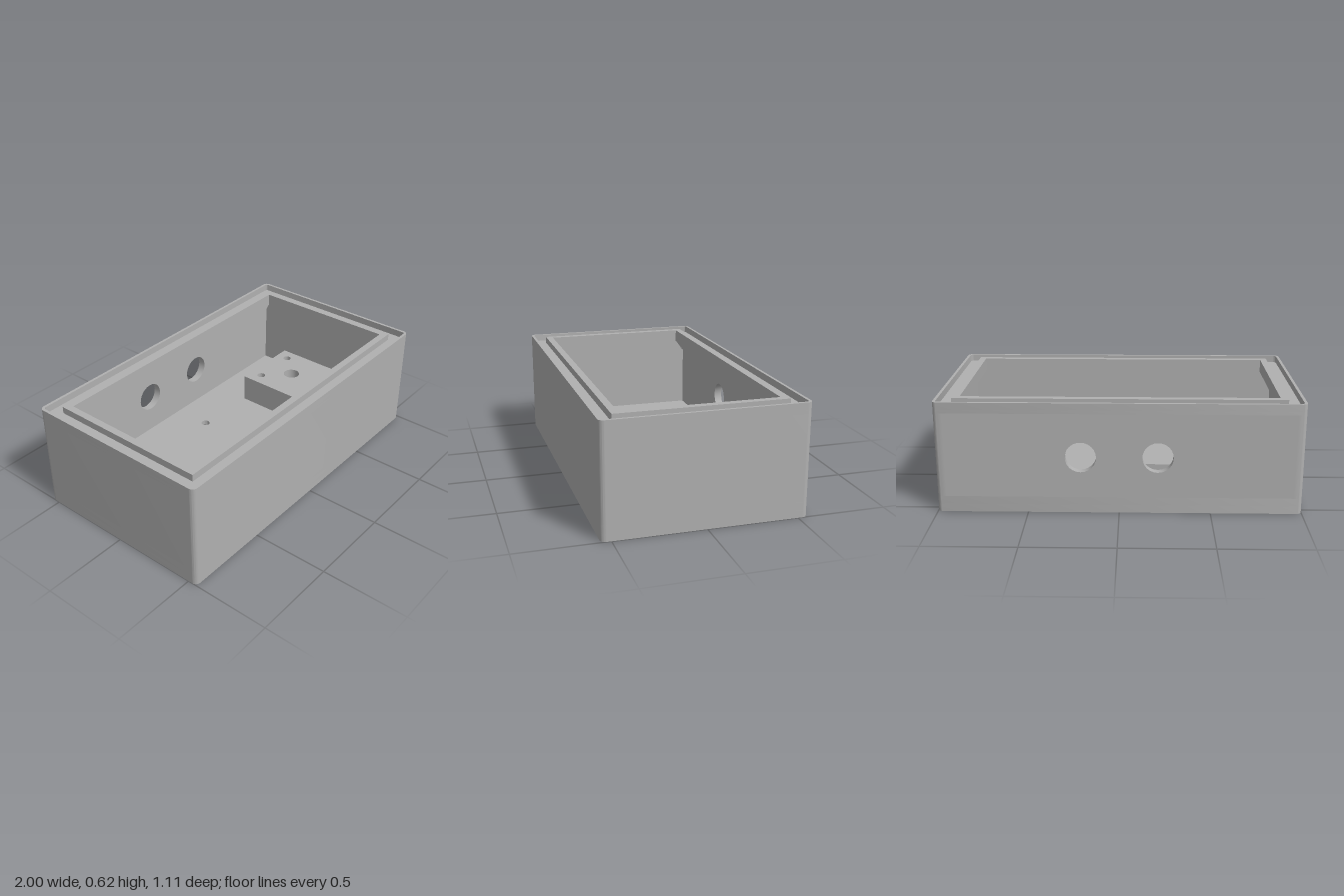
import * as THREE from 'three';
import { toCreasedNormals } from 'three/addons/utils/BufferGeometryUtils.js';

const H = 0.625, X = 1, Z = 0.555, R = 0.03;   // outer size (half x, half z) and corner radius
const IX = 0.95, IZ = 0.51;                    // cavity half size
const FLOOR = 0.09, CEIL = 0.15;               // floor top and pocket ceiling

// Closed outlines drawn in the x, z plane
function rect(x0, x1, z0, z1, r = 0, Type = THREE.Shape) {
  const s = new Type();
  if (!r) {
    s.moveTo(x0, z0); s.lineTo(x1, z0); s.lineTo(x1, z1); s.lineTo(x0, z1);
  } else {
    s.moveTo(x0 + r, z0);
    s.absarc(x1 - r, z0 + r, r, -Math.PI / 2, 0);
    s.absarc(x1 - r, z1 - r, r, 0, Math.PI / 2);
    s.absarc(x0 + r, z1 - r, r, Math.PI / 2, Math.PI);
    s.absarc(x0 + r, z0 + r, r, Math.PI, Math.PI * 1.5);
  }
  s.closePath();
  return s;
}
const rectHole = (x0, x1, z0, z1, r = 0) => rect(x0, x1, z0, z1, r, THREE.Path);
const circleHole = (x, z, r) => new THREE.Path().absarc(x, z, r, 0, Math.PI * 2);
const outline = () => rect(-X, X, -Z, Z, R);

function extrude(shape, holes, depth) {
  shape.holes.push(...holes);
  const g = new THREE.ExtrudeGeometry(shape, { depth, bevelEnabled: false, curveSegments: 12 });
  return toCreasedNormals(g, 0.6);
}

export function createModel() {
  const model = new THREE.Group();
  const grey = new THREE.MeshStandardMaterial({ color: 0xb0b0b0 });
  grey.name = 'grey plastic';
  const add = (name, geometry) => {
    const m = new THREE.Mesh(geometry, grey);
    m.name = name;
    model.add(m);
    return m;
  };
  // Horizontal slab from y0 to y1
  const slab = (name, shape, holes, y0, y1) =>
    add(name, extrude(shape, holes, y1 - y0).rotateX(Math.PI / 2).translate(0, y1, 0));

  // Two hollow housings on the floor, open underneath
  const housings = [
    { name: 'wideHousing', x0: -0.555, x1: -0.005, top: 0.18, holes: [[-0.51, -0.2, 0.025], [-0.055, -0.2, 0.025]] },
    { name: 'tallHousing', x0: 0.42, x1: 0.855, top: 0.26, holes: [[0.5, -0.2, 0.025], [0.78, -0.2, 0.025], [0.64, -0.06, 0.05]] },
  ];
  const hz0 = -0.275, hz1 = 0.16, t = 0.03;
  const pocket = (h) => rectHole(h.x0 + t, h.x1 - t, hz0 + t, hz1 - t);
  for (const h of housings) {
    slab(h.name + 'Sides', rect(h.x0, h.x1, hz0, hz1), [pocket(h)], FLOOR, CEIL);
    slab(h.name + 'Top', rect(h.x0, h.x1, hz0, hz1), h.holes.map((c) => circleHole(...c)), CEIL, h.top);
  }

  // Wide pocket has a finger notch on each side
  const [wide, tall] = housings;
  const nz = -0.02, nw = 0.065, nl = 0.09;
  const a = wide.x0 + t, b = wide.x1 - t, pz0 = hz0 + t, pz1 = hz1 - t;
  const notchedPocket = () => new THREE.Path([
    [a, pz0], [b, pz0], [b, nz - nw], [b + nl, nz - nw], [b + nl, nz + nw], [b, nz + nw],
    [b, pz1], [a, pz1], [a, nz + nw], [a - nl, nz + nw], [a - nl, nz - nw], [a, nz - nw], [a, pz0],
  ].map(([x, z]) => new THREE.Vector2(x, z)));

  // Floor: lower layer with three round recesses for feet, upper layer closing them
  const feet = [[0.21, -0.07], [-0.28, 0.3], [-0.77, -0.07]].map(([x, z]) => circleHole(x, z, 0.138));
  slab('floorUnderside', outline(), [pocket(tall), notchedPocket(), ...feet], 0, 0.045);
  slab('floor', outline(), [pocket(tall), notchedPocket()], 0.045, FLOOR);

  // Arched roofs of the finger notches
  for (const x of [b, a - nl]) {
    const arch = new THREE.Shape();
    arch.moveTo(nw, 0);
    arch.lineTo(nw, FLOOR);
    arch.lineTo(-nw, FLOOR);
    arch.lineTo(-nw, 0);
    arch.absarc(0, 0, nw - 0.005, Math.PI, 0, true);
    add('notchArch', extrude(arch, [], nl).rotateY(Math.PI / 2).translate(x, 0, nz));
  }

  // Front and side walls as one U, then the back wall with its two round ports
  const lipBase = 0.565;
  const u = new THREE.Shape();
  u.moveTo(IX, -Z);
  u.absarc(X - R, -Z + R, R, -Math.PI / 2, 0);
  u.absarc(X - R, Z - R, R, 0, Math.PI / 2);
  u.absarc(-X + R, Z - R, R, Math.PI / 2, Math.PI);
  u.absarc(-X + R, -Z + R, R, Math.PI, Math.PI * 1.5);
  u.lineTo(-IX, -Z);
  u.lineTo(-IX, IZ);
  u.lineTo(IX, IZ);
  u.lineTo(IX, -Z);
  slab('frontAndSideWalls', u, [], FLOOR, lipBase);
  const ports = [-0.21, 0.21].map((x) => circleHole(x, 0.32, 0.085));
  add('backWall', extrude(rect(-IX, IX, FLOOR, lipBase), ports, Z - IZ).translate(0, 0, -Z));

  // Fine steps under the lip, growing inwards as they rise
  const steps = 6, rise = 0.015;
  for (let i = 0; i < steps; i++) {
    const d = 0.08 * (i + 1) / steps, y = lipBase - (steps - i) * rise;
    slab('lipStep', rect(-IX, IX, -IZ, IZ), [rectHole(-IX + d, IX - d, -IZ + d, IZ - d)], y, y + rise);
  }

  // Lip with a raised inner ring and a thin outer rim, leaving a channel for a lid
  const mouth = () => rectHole(-0.87, 0.87, -0.43, 0.43);
  slab('lip', outline(), [mouth()], lipBase, 0.585);
  slab('innerRing', rect(-0.91, 0.91, -0.47, 0.47), [mouth()], 0.585, H);
  slab('outerRim', outline(), [rectHole(-0.984, 0.984, -0.539, 0.539, 0.015)], 0.585, H);

  return model;
}
